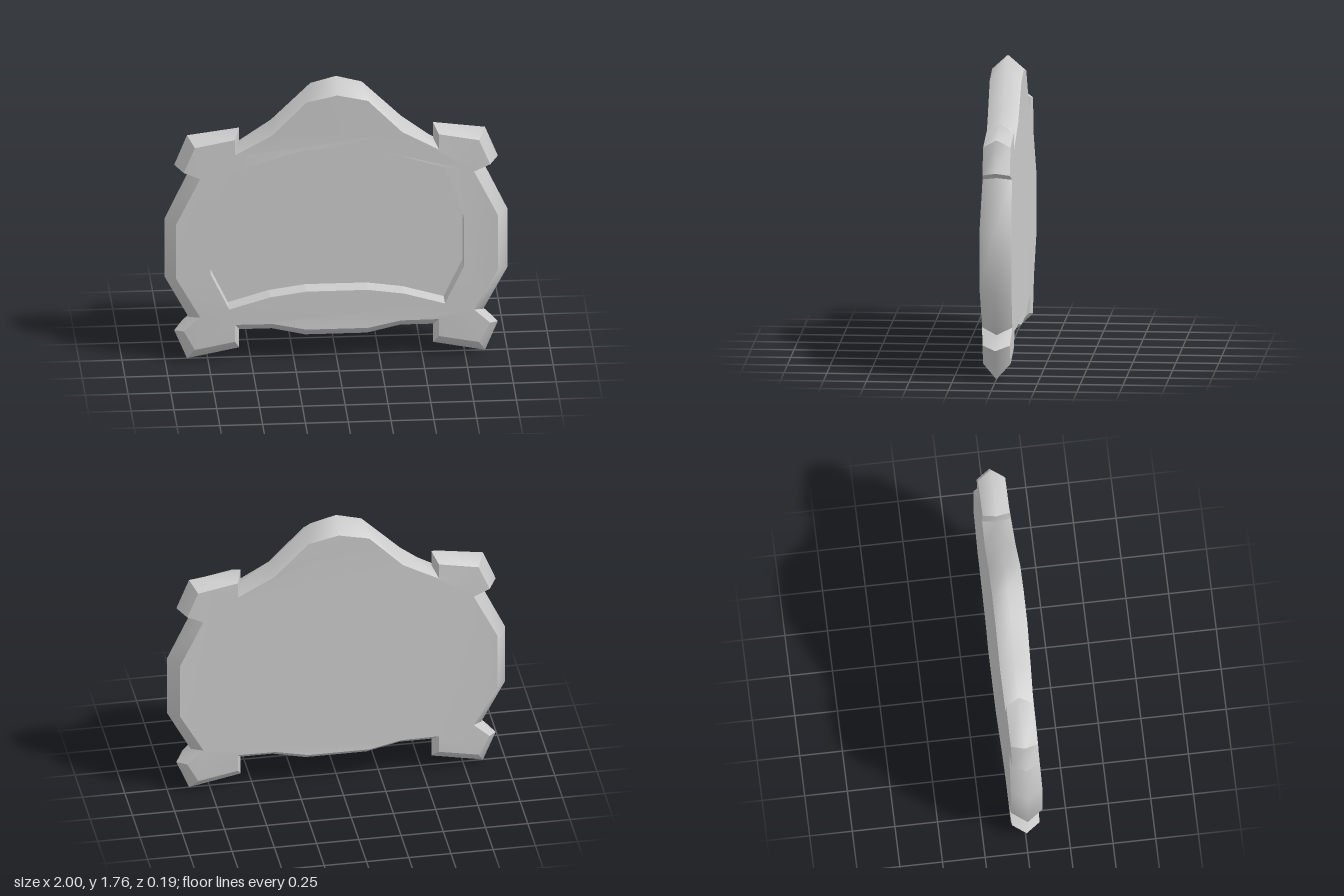
import * as THREE from 'three';

// Right half of the outline, top centre to bottom centre:
// [ridge x, ridge y, face x, face y, face half depth, sharp corner]
const HALF = [
  [0, 1.77, 0, 1.685, 0.093, 0],
  [0.15, 1.73, 0.18, 1.645, 0.093, 0],
  [0.38, 1.505, 0.38, 1.44, 0.09, 0],
  [0.565, 1.365, 0.595, 1.32, 0.083, 1],
  [0.565, 1.46, 0.595, 1.415, 0.08, 1], // upper lug
  [0.87, 1.42, 0.83, 1.37, 0.08, 1],
  [0.945, 1.235, 0.895, 1.215, 0.08, 1],
  [0.86, 1.195, 0.80, 1.175, 0.086, 1],
  [1, 0.9, 0.94, 0.895, 0.093, 0], // side
  [1, 0.525, 0.94, 0.55, 0.093, 0],
  [0.86, 0.265, 0.80, 0.30, 0.088, 1],
  [0.945, 0.185, 0.895, 0.21, 0.08, 1], // lower lug
  [0.87, 0.005, 0.83, 0.09, 0.08, 1],
  [0.565, 0.065, 0.595, 0.135, 0.08, 1],
  [0.565, 0.18, 0.595, 0.245, 0.086, 1],
  [0.375, 0.18, 0.375, 0.245, 0.09, 0], // bottom edge
  [0.18, 0.135, 0.18, 0.205, 0.093, 0],
  [0, 0.135, 0, 0.205, 0.093, 0],
];
// Right half of the recess opening, top to bottom
const RECESS = [
  [0, 1.35], [0.18, 1.345], [0.39, 1.285], [0.63, 1.205], [0.74, 0.89],
  [0.74, 0.575], [0.63, 0.345], [0.39, 0.415], [0.18, 0.445], [0, 0.445],
];
const RECESS_TOP = 0.09, RECESS_FLOOR = -0.02;

// Close a half outline by mirroring it in x; runs clockwise seen from the front
function mirrorLoop(half, xColumns) {
  const left = half.slice(1, -1).reverse().map((p) => p.map((v, i) => (xColumns.includes(i) ? -v : v)));
  return [...half, ...left];
}

function makeGeometry(points, index) {
  const g = new THREE.BufferGeometry().setFromPoints(points);
  g.setIndex(index);
  g.computeVertexNormals();
  return g;
}

// Smooth strip over a list of columns, each ordered front to back
function strip(columns, flip) {
  const n = columns[0].length, index = [];
  for (let i = 0; i + 1 < columns.length; i++) {
    for (let j = 0; j + 1 < n; j++) {
      const a = i * n + j, b = a + n;
      if (flip) index.push(a, a + 1, b, b, a + 1, b + 1);
      else index.push(a, b, a + 1, b, b + 1, a + 1);
    }
  }
  return makeGeometry(columns.flat(), index);
}

// Filled face through 3D points, with an optional hole, facing +z or -z
function face(outer, hole, dir) {
  const flat = (loop) => loop.map((p) => new THREE.Vector2(p.x, p.y));
  const points = [...outer, ...hole];
  const tris = THREE.ShapeUtils.triangulateShape(flat(outer), hole.length ? [flat(hole)] : []);
  const index = [];
  for (const [a, b, c] of tris) {
    const p = points[a], q = points[b], r = points[c];
    const area = (q.x - p.x) * (r.y - p.y) - (q.y - p.y) * (r.x - p.x);
    if (area * dir > 0) index.push(a, b, c);
    else index.push(a, c, b);
  }
  return makeGeometry(points, index);
}

export function createModel() {
  const group = new THREE.Group();
  const material = new THREE.MeshStandardMaterial({ color: 0xcccccc });
  const add = (name, geometry, parent = group) => {
    const mesh = new THREE.Mesh(geometry, material);
    mesh.name = name;
    parent.add(mesh);
  };
  const V = (x, y, z) => new THREE.Vector3(x, y, z);

  const outline = mirrorLoop(HALF, [0, 2]);
  const recess = mirrorLoop(RECESS, [0]);
  const recessAt = (z) => recess.map(([x, y]) => V(x, y, z));

  // Ridged rim: one smooth strip between each pair of sharp corners
  const rim = new THREE.Group();
  rim.name = 'rim';
  group.add(rim);
  const first = outline.findIndex((p) => p[5]);
  let run = [];
  for (let k = 0; k <= outline.length; k++) {
    const [x, y, fx, fy, d, sharp] = outline[(first + k) % outline.length];
    const column = () => [V(fx, fy, d), V(x, y, 0), V(fx, fy, -d)];
    run.push(column());
    if (sharp && k > 0) {
      add('rimEdge', strip(run, false), rim);
      run = [column()];
    }
  }

  // Front and back faces
  const faceAt = (s) => outline.map(([, , x, y, d]) => V(x, y, s * d));
  add('frontFace', face(faceAt(1), recessAt(RECESS_TOP), 1));
  add('backFace', face(faceAt(-1), [], -1));

  // Recessed panel and its walls, with sharp upright edges
  const walls = new THREE.Group();
  walls.name = 'recessWalls';
  group.add(walls);
  recess.forEach(([x, y], i) => {
    const [u, v] = recess[(i + 1) % recess.length];
    const column = (a, b) => [V(a, b, RECESS_TOP), V(a, b, RECESS_FLOOR)];
    add('recessWall', strip([column(x, y), column(u, v)], true), walls);
  });
  add('recessPanel', face(recessAt(RECESS_FLOOR), [], 1));

  return group;
}
